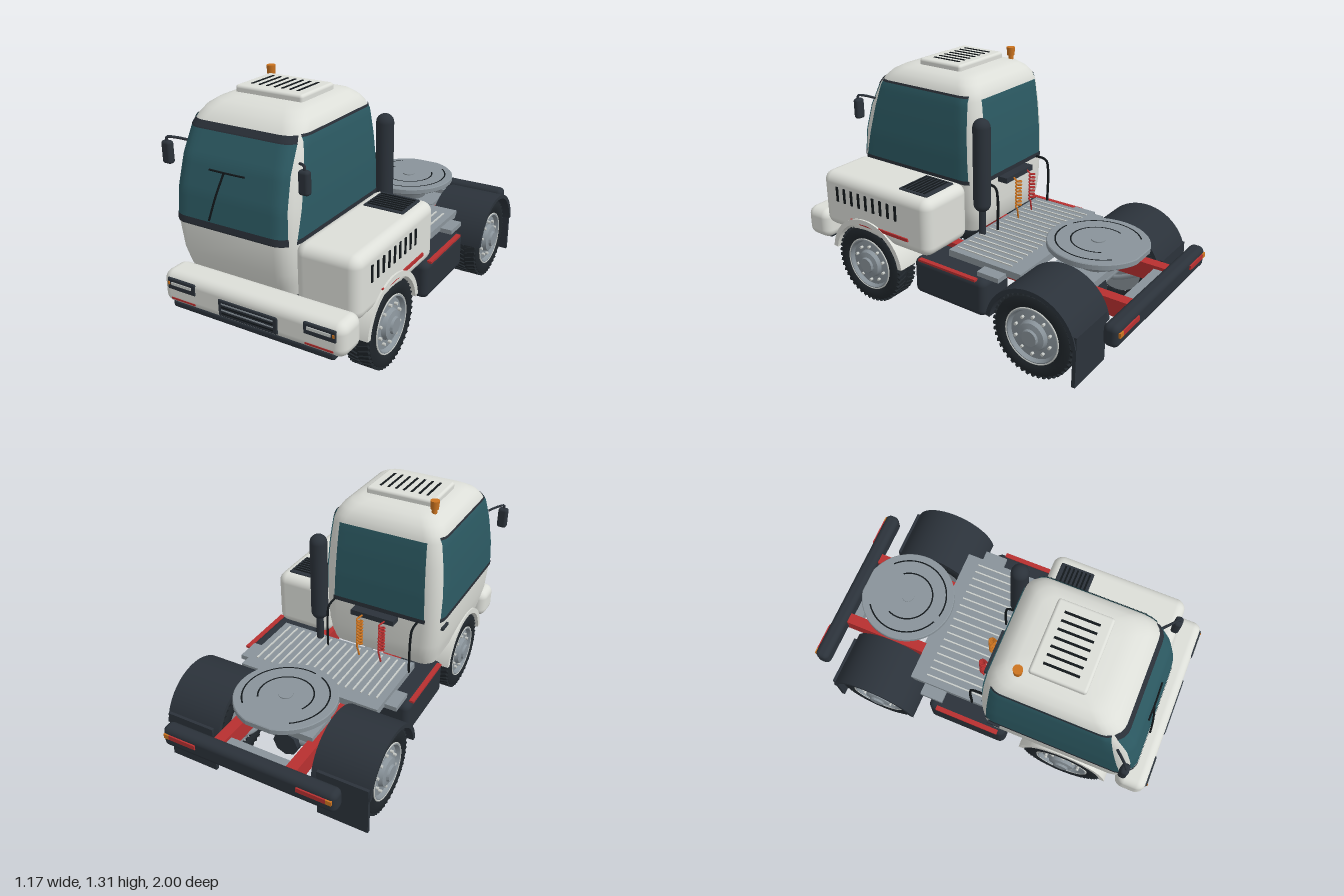
import * as THREE from 'three';
import { mergeGeometries, toCreasedNormals } from 'three/addons/utils/BufferGeometryUtils.js';
import { RoundedBoxGeometry } from 'three/addons/geometries/RoundedBoxGeometry.js';

const mat = (name, color, side = THREE.FrontSide) => {
  const m = new THREE.MeshStandardMaterial({ color, side });
  m.name = name;
  return m;
};

export function createModel() {
  const model = new THREE.Group();
  const white = mat('white paint', 0xdcded8), dark = mat('dark plastic', 0x2b323a);
  const rubber = mat('tyre rubber', 0x20262b), black = mat('black', 0x12171a);
  const grey = mat('grey metal', 0x89939a), pale = mat('pale metal', 0xc9cdca);
  const red = mat('red paint', 0xb83030), orange = mat('orange lens', 0xcc7420);
  const glass = mat('tinted glass', 0x2c5a63, THREE.DoubleSide);
  const trim = mat('window trim', 0x2a3038, THREE.DoubleSide);

  const add = (name, geo, m, x = 0, y = 0, z = 0, parent = model) => {
    const mesh = new THREE.Mesh(geo, m);
    mesh.name = name;
    mesh.position.set(x, y, z);
    parent.add(mesh);
    return mesh;
  };
  // box given by its limits, optionally rounded
  const span = (name, m, [x0, x1], [y0, y1], [z0, z1], r = 0) => {
    const s = [x1 - x0, y1 - y0, z1 - z0];
    const g = r ? new RoundedBoxGeometry(...s, 4, r) : new THREE.BoxGeometry(...s);
    return add(name, g, m, (x0 + x1) / 2, (y0 + y1) / 2, (z0 + z1) / 2);
  };
  const rod = (name, m, pts, r, seg = 20) => add(name, new THREE.TubeGeometry(
    new THREE.CatmullRomCurve3(pts.map(p => new THREE.Vector3(...p)), false, 'centripetal'), seg, r, 6), m);
  const cylX = (r, len, seg = 20) => new THREE.CylinderGeometry(r, r, len, seg).rotateZ(-Math.PI / 2);

  // ---- Cab: rounded sections [y, half width, front z, back z, corner radius]
  const cx = -0.175;
  const sections = [
    [0.40, 0.305, 0.82, 0.08, 0.07], [0.46, 0.318, 0.845, 0.055, 0.08], [0.53, 0.333, 0.865, 0.047, 0.09],
    [0.69, 0.342, 0.88, 0.045, 0.09], [0.85, 0.34, 0.86, 0.046, 0.09], [1.0, 0.33, 0.82, 0.055, 0.09],
    [1.13, 0.316, 0.76, 0.068, 0.09], [1.17, 0.304, 0.73, 0.08, 0.09], [1.205, 0.282, 0.695, 0.105, 0.09],
    [1.232, 0.245, 0.645, 0.14, 0.08], [1.245, 0.2, 0.59, 0.185, 0.07]];
  const n = 7, ringSize = 4 * n, pos = [], idx = [];
  for (const [y, hw, zf, zb, r] of sections)
    for (let k = 0; k < 4; k++)
      for (let j = 0; j < n; j++) {
        const a = (k + j / (n - 1)) * Math.PI / 2;
        pos.push(cx + (k === 0 || k === 3 ? 1 : -1) * (hw - r) + r * Math.cos(a), y,
          (k < 2 ? zf - r : zb + r) + r * Math.sin(a));
      }
  const last = (sections.length - 1) * ringSize, bottom = pos.length / 3, top = bottom + 1;
  pos.push(cx, 0.40, 0.45, cx, 1.245, 0.39);
  for (let j = 0; j < ringSize; j++) {
    const j2 = (j + 1) % ringSize;
    for (let i = 0; i < last; i += ringSize)
      idx.push(i + j, i + ringSize + j, i + j2, i + j2, i + ringSize + j, i + ringSize + j2);
    idx.push(top, last + j2, last + j, bottom, j, j2);
  }
  const cab = new THREE.BufferGeometry();
  cab.setAttribute('position', new THREE.Float32BufferAttribute(pos, 3));
  cab.setIndex(idx);
  add('cab', toCreasedNormals(cab, 0.7), white);

  // thin panels following the cab surface; lo and hi are [at y0, at y1]
  const sectionAt = y => {
    let i = 0;
    while (i < sections.length - 2 && y > sections[i + 1][0]) i++;
    const a = sections[i], b = sections[i + 1], t = (y - a[0]) / (b[0] - a[0]);
    return a.map((v, k) => v + (b[k] - v) * t);
  };
  const inset = (d, r) => d > 0 ? r - Math.sqrt(Math.max(0, r * r - d * d)) : 0;
  const panel = (name, m, face, y0, y1, lo, hi, out = 0.006) => {
    const g = new THREE.PlaneGeometry(1, 1, 24, 16), p = g.attributes.position;
    for (let i = 0; i < p.count; i++) {
      const u = p.getX(i) + 0.5, v = p.getY(i) + 0.5, y = y0 + (y1 - y0) * v;
      const a = lo[0] + (lo[1] - lo[0]) * v, b = hi[0] + (hi[1] - hi[0]) * v, s = a + (b - a) * u;
      const [, hw, zf, zb, r] = sectionAt(y);
      const dx = inset(Math.abs(s) - (hw - r), r), dz = inset(Math.max(s - zf + r, zb + r - s), r);
      if (face === 'front') p.setXYZ(i, cx + s, y, zf - dx + out);
      else if (face === 'back') p.setXYZ(i, cx - s, y, zb + dx - out);
      else p.setXYZ(i, cx + face * (hw - dz + out), y, face > 0 ? a + b - s : s);
      if (face === 1) {
        const q = a + b - s, d = inset(Math.max(q - zf + r, zb + r - q), r);
        p.setX(i, cx + hw - d + out);
      }
    }
    g.computeVertexNormals();
    add(name, g, m);
  };
  panel('windshield', glass, 'front', 0.715, 1.13, [-0.318, -0.298], [0.318, 0.298]);
  panel('windshieldTopTrim', trim, 'front', 1.125, 1.158, [-0.3, -0.29], [0.3, 0.29], 0.008);
  panel('windshieldBottomTrim', trim, 'front', 0.685, 0.72, [-0.322, -0.32], [0.322, 0.32], 0.008);
  for (const s of [-1, 1]) {
    panel('sideWindow', glass, s, 0.70, 1.16, [0.09, 0.11], [0.82, 0.7]);
    panel('sideWindowTrim', trim, s, 0.688, 0.71, [0.085, 0.085], [0.825, 0.82], 0.008);
    panel('sideWindowTopTrim', trim, s, 1.15, 1.162, [0.11, 0.11], [0.705, 0.7], 0.008);
  }
  panel('rearWindow', glass, 'back', 0.70, 1.14, [-0.265, -0.245], [0.265, 0.245]);
  panel('rearWindowTrim', trim, 'back', 0.685, 0.71, [-0.27, -0.27], [0.27, 0.27], 0.008);
  rod('wiperBlade', black, [[-0.29, 0.965, 0.845], [-0.19, 0.965, 0.847], [-0.085, 0.965, 0.845]], 0.005);
  rod('wiperArm', black, [[-0.205, 0.965, 0.846], [-0.24, 0.85, 0.873], [-0.275, 0.73, 0.89]], 0.005);
  span('doorHandle', dark, [-0.527, -0.512], [0.635, 0.65], [0.1, 0.17]);

  // roof hatch and beacon
  span('roofHatch', white, [-0.37, 0.015], [1.225, 1.278], [0.25, 0.53], 0.015);
  for (let i = 0; i < 7; i++)
    span('hatchSlot', black, [-0.316 + i * 0.044, -0.304 + i * 0.044], [1.274, 1.281], [0.3, 0.475]);
  add('beaconBase', new THREE.CylinderGeometry(0.014, 0.014, 0.04, 16), orange, -0.39, 1.245, 0.21);
  add('beacon', new THREE.CylinderGeometry(0.024, 0.021, 0.045, 16), orange, -0.39, 1.283, 0.21);

  // mirrors
  for (const s of [-1, 1]) {
    const x = d => cx + s * d;
    rod('mirrorArm', dark, [[x(0.32), 1.045, 0.75], [x(0.36), 1.062, 0.79], [x(0.388), 1.065, 0.815], [x(0.388), 1.03, 0.815]], 0.007);
    span('mirror', dark, [x(0.388) - 0.027, x(0.388) + 0.027], [0.935, 1.05], [0.795, 0.835], 0.015);
  }

  // ---- Engine hood with vents
  span('engineHood', white, [0.16, 0.497], [0.385, 0.705], [0.09, 0.85], 0.055);
  span('hoodGrille', dark, [0.22, 0.44], [0.695, 0.713], [0.14, 0.33], 0.008);
  for (let i = 0; i < 7; i++) {
    const z = 0.165 + i * 0.023;
    span('hoodGrilleBar', black, [0.235, 0.425], [0.71, 0.716], [z, z + 0.01]);
  }
  for (let i = 0; i < 9; i++)
    span('hoodSideSlot', black, [0.492, 0.502], [0.55, 0.635], [0.3 + i * 0.053, 0.315 + i * 0.053]);
  span('hoodStripe', red, [0.49, 0.505], [0.455, 0.472], [0.225, 0.64]);

  // exhaust stack
  const stack = new THREE.CapsuleGeometry(0.047, 0.42, 6, 20);
  add('exhaustStack', stack, dark, 0.16, 0.82, 0.0);
  rod('exhaustPipe', dark, [[0.16, 0.4, 0.0], [0.16, 0.6, 0.0]], 0.02, 4);

  // ---- Front bumper, lamps and grille
  span('frontBumper', white, [-0.51, 0.51], [0.285, 0.458], [0.825, 0.99], 0.05);
  span('bumperLip', dark, [-0.457, 0.457], [0.27, 0.31], [0.86, 0.985], 0.015);
  span('frontGrille', dark, [-0.167, 0.167], [0.315, 0.403], [0.975, 0.996], 0.008);
  for (let i = 0; i < 4; i++)
    span('frontGrilleBar', i % 2 ? grey : black, [-0.145, 0.145], [0.332 + i * 0.016, 0.338 + i * 0.016], [0.992, 0.999]);
  for (const s of [-1, 1]) {
    const sx = (a, b) => s > 0 ? [a, b] : [-b, -a];
    span('headlightFrame', dark, sx(0.303, 0.472), [0.37, 0.431], [0.97, 0.994], 0.008);
    span('headlight', pale, sx(0.325, 0.445), [0.398, 0.413], [0.99, 0.998]);
    span('turnSignal', orange, sx(0.455, 0.466), [0.398, 0.413], [0.985, 0.998]);
    span('bumperStripe', red, sx(0.31, 0.455), [0.317, 0.327], [0.97, 0.991]);
    span('towMount', red, sx(0.175, 0.235), [0.255, 0.275], [0.84, 0.9]);

    // ---- Chassis rails, tanks and rear bumper details
    span('chassisRail', red, sx(0.175, 0.235), [0.268, 0.362], [-0.92, 0.84]);
    span('sideTank', dark, sx(0.285, 0.51), [0.18, 0.385], [-0.27, 0.185], 0.035);
    span('tankStripe', red, sx(0.49, 0.516), [0.376, 0.388], [-0.22, 0.145]);
    span('deckBracket', grey, sx(0.39, 0.47), [0.385, 0.41], [-0.33, -0.2]);
    span('mudflap', dark, sx(0.3, 0.575), [0.06, 0.33], [-0.837, -0.818]);
    span('tailLight', red, sx(0.285, 0.44), [0.335, 0.36], [-0.998, -0.98]);
    span('tailSignal', orange, sx(0.44, 0.47), [0.335, 0.36], [-0.998, -0.98]);
    rod('handrail', black, [[s > 0 ? 0.085 : -0.405, 0.42, -0.045], [s > 0 ? 0.085 : -0.405, 0.63, -0.045],
      [s > 0 ? 0.085 : -0.405, 0.68, -0.03], [s > 0 ? 0.085 : -0.405, 0.69, 0.07]], 0.007);
    // leaf springs
    for (const z of [0.53, -0.58])
      rod('leafSpring', grey, [[s * 0.205, 0.28, z - 0.2], [s * 0.205, 0.2, z], [s * 0.205, 0.28, z + 0.2]], 0.014);
  }
  span('rearBumper', dark, [-0.487, 0.487], [0.275, 0.39], [-0.99, -0.91], 0.03);
  for (const z of [-0.87, -0.42, 0.0, 0.35, 0.75])
    span('crossMember', grey, [-0.18, 0.18], [0.29, 0.345], [z - 0.025, z + 0.025]);

  // ---- Ribbed deck, step plate and air lines
  span('deck', grey, [-0.405, 0.405], [0.395, 0.432], [-0.415, 0.03]);
  span('deckSupport', grey, [-0.235, 0.235], [0.355, 0.4], [-0.36, 0.0]);
  for (let i = 0; i < 17; i++) {
    const x = -0.36 + i * 0.045;
    span('deckRib', pale, [x - 0.004, x + 0.004], [0.43, 0.438], [-0.335, 0.005]);
  }
  span('underStep', dark, [-0.33, 0.02], [0.145, 0.165], [-0.125, 0.005]);
  for (const x of [-0.24, -0.02]) span('stepHanger', dark, [x - 0.01, x + 0.01], [0.16, 0.3], [-0.07, -0.05]);
  span('airLineBracket', dark, [-0.29, -0.04], [0.655, 0.685], [-0.015, 0.05]);
  for (const [x, m] of [[-0.24, red], [-0.11, orange]]) {
    const pts = [[x, 0.43, -0.045]];
    for (let i = 0; i <= 80; i++) {
      const a = i / 10 * Math.PI * 2;
      pts.push([x + 0.015 * Math.cos(a), 0.5 + i * 0.002, -0.045 + 0.015 * Math.sin(a)]);
    }
    pts.push([x, 0.67, -0.01]);
    rod('airLine', m, pts, 0.005, 240);
  }

  // ---- Fifth wheel coupling with V notch
  const plate = new THREE.Shape();
  plate.moveTo(0, 0.06);
  plate.absarc(0, 0, 0.258, Math.PI / 2 + 0.27, Math.PI * 2.5 - 0.27, false);
  plate.closePath();
  const plateGeo = new THREE.ExtrudeGeometry(plate, { depth: 0.024, curveSegments: 48, bevelEnabled: true, bevelSize: 0.004, bevelThickness: 0.004, bevelSegments: 1 });
  add('couplingPlate', plateGeo.rotateX(-Math.PI / 2), grey, 0, 0.485, -0.61);
  for (const [r, start, len] of [[0.218, 2.2, 2.1], [0.218, 4.5, 2.6], [0.14, 2.7, 4.2]])
    add('couplingGroove', new THREE.RingGeometry(r - 0.005, r + 0.003, 40, 1, start, len).rotateX(-Math.PI / 2), black, 0, 0.515, -0.61);
  add('couplingPin', new THREE.CylinderGeometry(0.036, 0.036, 0.008, 20), grey, 0, 0.515, -0.61);
  add('couplingBase', new THREE.CylinderGeometry(0.15, 0.1, 0.11, 24), grey, 0, 0.43, -0.61);
  span('couplingMount', grey, [-0.2, 0.2], [0.345, 0.385], [-0.7, -0.52]);

  // ---- Axles and drive shaft
  for (const z of [0.53, -0.58]) {
    add('axle', cylX(0.032, 0.8), grey, 0, 0.225, z);
    add('differential', new THREE.CylinderGeometry(0.072, 0.072, 0.12, 8).rotateX(Math.PI / 2), dark, 0, 0.215, z);
  }
  add('driveShaft', new THREE.CylinderGeometry(0.022, 0.022, 1.1, 12).rotateX(Math.PI / 2), grey, 0, 0.225, -0.03);
  rod('steeringRod', dark, [[-0.33, 0.155, 0.45], [0, 0.155, 0.45], [0.02, 0.155, 0.45]], 0.012);

  // ---- Wheels, built along x with the outer face toward +x
  const lathe = pts => toCreasedNormals(new THREE.LatheGeometry(
    pts.map(p => new THREE.Vector2(...p)), 40).rotateZ(-Math.PI / 2), 0.6);
  const h = 0.07;
  const tyreGeo = lathe([[0.147, -h * 0.85], [0.165, -h], [0.195, -h], [0.21, -h * 0.92], [0.216, -h * 0.75],
    [0.216, h * 0.75], [0.21, h * 0.92], [0.195, h], [0.165, h], [0.147, h * 0.85]]);
  const lugs = [];
  for (let i = 0; i < 44; i++)
    for (const s of [-1, 1])
      lugs.push(new THREE.BoxGeometry(0.06, 0.018, 0.016).rotateY(s * 0.35).translate(s * 0.034, 0.215, 0)
        .rotateX((i + (s > 0 ? 0.5 : 0)) / 44 * Math.PI * 2));
  const lugGeo = mergeGeometries(lugs);
  const rimGeo = lathe([[0, -0.045], [0.149, -0.045], [0.149, 0.064], [0.138, 0.066], [0.128, 0.045], [0.08, 0.05],
    [0.072, 0.072], [0.045, 0.078], [0.04, 0.09], [0, 0.09]]);
  const wheel = (name, x, z) => {
    const g = new THREE.Group();
    g.name = name;
    g.position.set(x, 0.225, z);
    if (x < 0) g.rotation.y = Math.PI;
    model.add(g);
    add('tyre', tyreGeo, rubber, 0, 0, 0, g);
    add('tread', lugGeo, rubber, 0, 0, 0, g);
    add('rim', rimGeo, grey, 0, 0, 0, g);
    add('rimEdge', new THREE.TorusGeometry(0.147, 0.004, 6, 40).rotateY(Math.PI / 2), pale, 0.064, 0, 0, g);
    for (let i = 0; i < 10; i++) {
      const a = i / 10 * Math.PI * 2;
      add('wheelNut', cylX(0.008, 0.02, 6), pale, 0.054, 0.1 * Math.cos(a), 0.1 * Math.sin(a), g);
    }
  };
  // arched fender from an extruded ring, spanning x0..x1
  const fender = (name, m, r0, r1, x0, x1, z) => {
    const s = new THREE.Shape();
    s.absarc(0, 0, r1, -0.0 + 0.14, Math.PI - 0.14, false);
    s.absarc(0, 0, r0, Math.PI - 0.14, 0.14, true);
    const g = new THREE.ExtrudeGeometry(s, { depth: x1 - x0, bevelEnabled: false, curveSegments: 32 });
    add(name, toCreasedNormals(g.rotateY(Math.PI / 2), 0.6), m, x0, 0.235, z);
  };
  for (const s of [-1, 1]) {
    wheel('frontWheel', s * 0.43, 0.53);
    wheel('rearOuterWheel', s * 0.485, -0.58);
    wheel('rearInnerWheel', s * 0.34, -0.58);
    fender('frontFender', white, 0.228, 0.256, s > 0 ? 0.34 : -0.507, s > 0 ? 0.507 : -0.34, 0.53);
    fender('rearFender', dark, 0.23, 0.252, s > 0 ? 0.268 : -0.583, s > 0 ? 0.583 : -0.268, -0.587);
  }
  return model;
}
